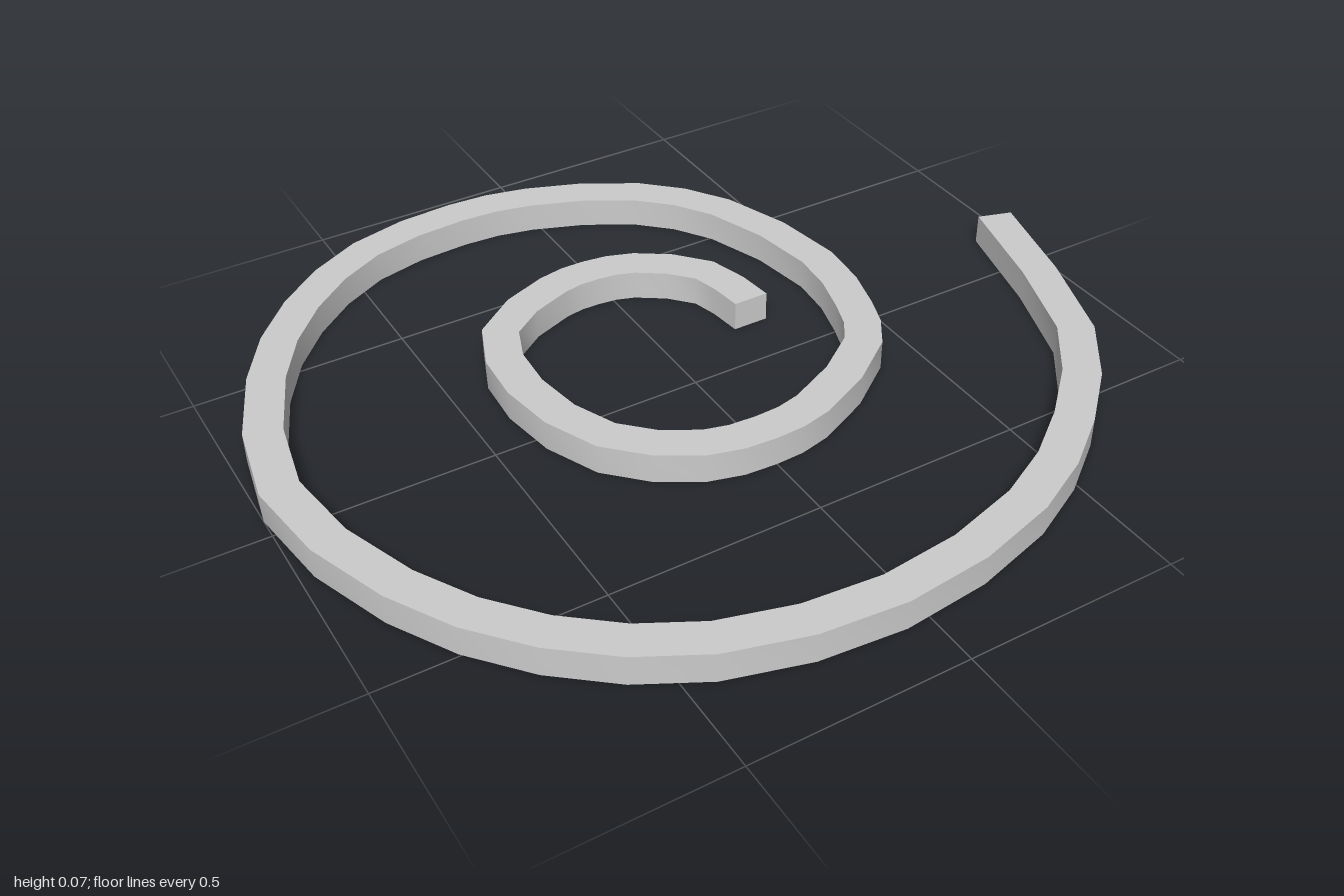
import * as THREE from 'three';
import { toCreasedNormals } from 'three/addons/utils/BufferGeometryUtils.js';

const WIDTH = 0.086, HEIGHT = 0.072;

// Centre line of the coil seen from above (x, z), from the inner end to the outer end
const PATH = [
  [0.23, -0.13], [0.2, -0.29], [0.07, -0.405], [-0.035, -0.43], [-0.14, -0.42],
  [-0.33, -0.315], [-0.375, -0.1], [-0.305, 0.14], [-0.14, 0.27], [0, 0.293],
  [0.13, 0.275], [0.36, 0.14], [0.425, 0.01], [0.463, -0.2], [0.385, -0.515],
  [0.24, -0.69], [-0.01, -0.81], [-0.2, -0.836], [-0.46, -0.795], [-0.68, -0.65],
  [-0.85, -0.42], [-0.957, -0.05], [-0.862, 0.33], [-0.68, 0.59], [-0.42, 0.765],
  [-0.055, 0.832], [0.325, 0.76], [0.585, 0.6], [0.805, 0.35], [0.955, -0.13],
];

// Flat ribbon of constant width following the centre line, with square ends
function ribbonShape(path, width, steps) {
  const curve = new THREE.CatmullRomCurve3(path.map(([x, z]) => new THREE.Vector3(x, -z, 0)));
  const outer = [], inner = [];
  for (let i = 0; i <= steps; i++) {
    const p = curve.getPoint(i / steps);
    const t = i === 0 ? new THREE.Vector3(0, 1, 0) : curve.getTangent(i / steps);
    const nx = t.y * width / 2, ny = -t.x * width / 2;
    outer.push(new THREE.Vector2(p.x + nx, p.y + ny));
    inner.push(new THREE.Vector2(p.x - nx, p.y - ny));
  }
  return new THREE.Shape([...outer, ...inner.reverse()]);
}

export function createModel() {
  const group = new THREE.Group();
  group.name = 'spiral';

  // Square-section bar lying flat on the ground
  const bar = new THREE.ExtrudeGeometry(ribbonShape(PATH, WIDTH, 58), {
    depth: HEIGHT, bevelEnabled: false,
  });
  bar.rotateX(-Math.PI / 2);

  const mesh = new THREE.Mesh(
    toCreasedNormals(bar, Math.PI / 5),
    new THREE.MeshStandardMaterial({ color: 0xcccccc }),
  );
  mesh.name = 'spiralBar';
  group.add(mesh);
  return group;
}
